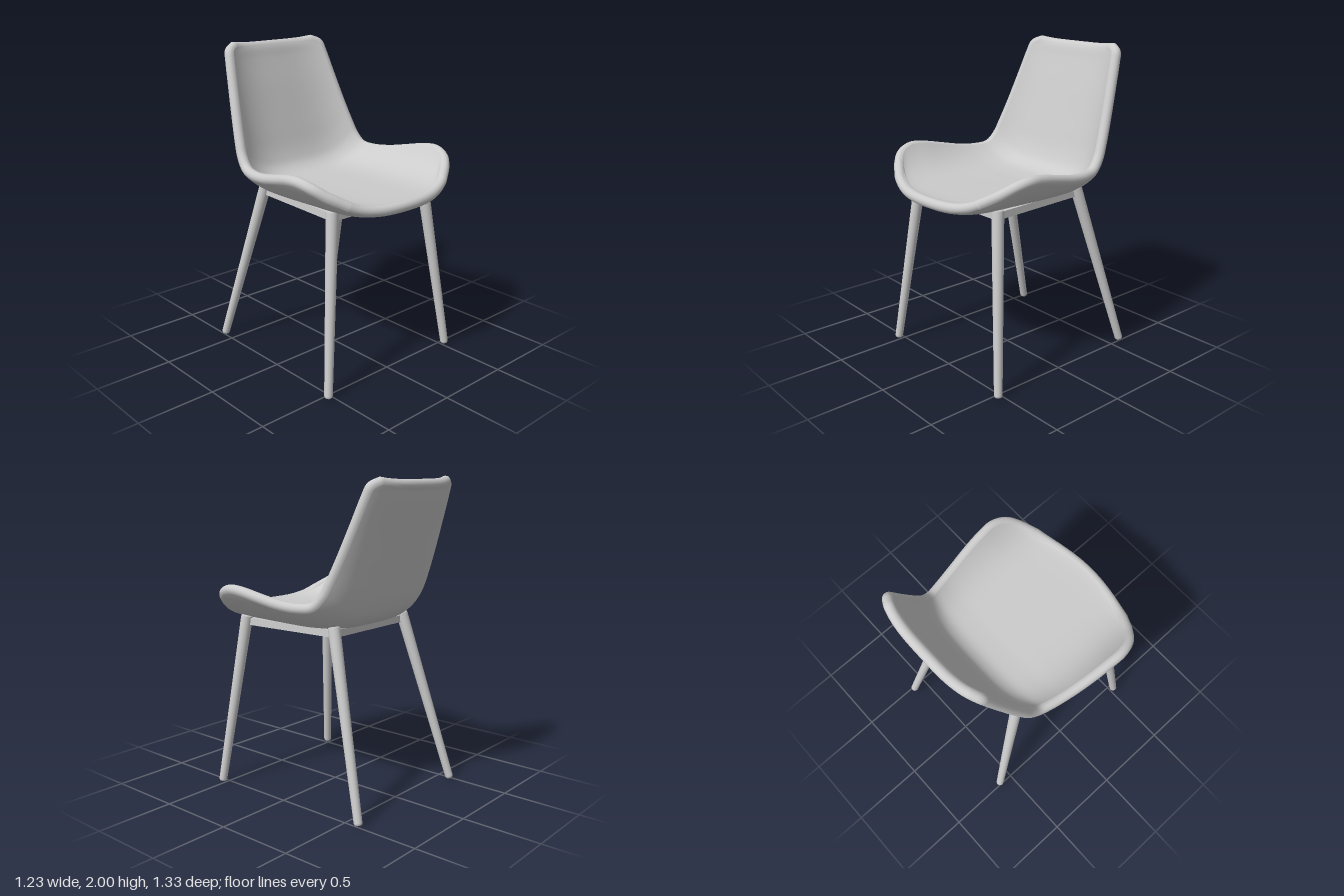
import * as THREE from 'three';
import { mergeVertices } from 'three/addons/utils/BufferGeometryUtils.js';

const V = (x, y, z) => new THREE.Vector3(x, y, z);
const HALF = 0.033; // half the shell thickness
const NU = 48, NV = 80, NR = 8;

// Shell stations from front lip to top of back: centre z, y | edge x, y, z
const stations = [
  [0.635, 1.125, 0.40, 1.18, 0.555],
  [0.615, 1.12, 0.50, 1.24, 0.49],
  [0.57, 1.115, 0.555, 1.285, 0.43],
  [0.49, 1.112, 0.583, 1.312, 0.34],
  [0.36, 1.11, 0.58, 1.305, 0.24],
  [0.18, 1.108, 0.567, 1.278, 0.11],
  [0.0, 1.107, 0.545, 1.25, -0.03],
  [-0.15, 1.108, 0.52, 1.24, -0.16],
  [-0.28, 1.125, 0.497, 1.255, -0.26],
  [-0.36, 1.175, 0.482, 1.32, -0.325],
  [-0.41, 1.26, 0.468, 1.40, -0.365],
  [-0.47, 1.44, 0.445, 1.53, -0.42],
  [-0.55, 1.70, 0.41, 1.74, -0.50],
  [-0.605, 1.87, 0.385, 1.89, -0.555],
  [-0.622, 1.93, 0.372, 1.94, -0.575],
  [-0.632, 1.95, 0.325, 1.965, -0.60],
];
const centre = new THREE.CatmullRomCurve3(stations.map(s => V(0, s[1], s[0])));
const edge = new THREE.CatmullRomCurve3(stations.map(s => V(s[2], s[3], s[4])));

// Middle surface of the shell, u across (-1..1), v from front to top (0..1)
function middle(u, v) {
  const c = centre.getPoint(v), e = edge.getPoint(v), a = Math.abs(u);
  const zPower = 2 + 1.3 * THREE.MathUtils.smoothstep(v, 0.2, 0.7);
  return V(e.x * u, c.y + (e.y - c.y) * a ** 4, c.z + (e.z - c.z) * a ** zPower);
}

function normalAt(u, v) {
  const cu = THREE.MathUtils.clamp(u, -0.94, 0.94), cv = THREE.MathUtils.clamp(v, 0.03, 0.97), h = 0.01;
  const du = middle(cu + h, cv).sub(middle(cu - h, cv));
  const dv = middle(cu, cv + h).sub(middle(cu, cv - h));
  return du.cross(dv).normalize();
}

// Two offset skins closed by a half-round rim
function shellGeometry() {
  const pos = [], idx = [];
  const add = p => pos.push(p.x, p.y, p.z) / 3 - 1;
  const quads = (rows, flip) => {
    for (let i = 0; i < rows.length - 1; i++) for (let j = 0; j < rows[i].length - 1; j++) {
      const a = rows[i][j], b = rows[i][j + 1], c = rows[i + 1][j], d = rows[i + 1][j + 1];
      if (flip) idx.push(a, c, b, b, c, d); else idx.push(a, b, c, b, d, c);
    }
  };
  const grid = [];
  for (let i = 0; i <= NV; i++) {
    grid.push([]);
    for (let j = 0; j <= NU; j++) {
      const u = Math.sin((j / NU - 0.5) * Math.PI), v = i / NV;
      grid[i].push({ p: middle(u, v), n: normalAt(u, v) });
    }
  }
  for (const side of [1, -1]) {
    quads(grid.map(r => r.map(g => add(g.p.clone().addScaledVector(g.n, HALF * side)))), side < 0);
  }
  const loop = [];
  for (let j = 0; j < NU; j++) loop.push(grid[0][j]);
  for (let i = 0; i < NV; i++) loop.push(grid[i][NU]);
  for (let j = NU; j > 0; j--) loop.push(grid[NV][j]);
  for (let i = NV; i > 0; i--) loop.push(grid[i][0]);
  const L = loop.length;
  const rim = loop.map((g, k) => {
    const before = g.p.clone().sub(loop[(k + L - 1) % L].p).normalize();
    const after = loop[(k + 1) % L].p.clone().sub(g.p).normalize();
    const out = before.add(after).cross(g.n).normalize();
    return Array.from({ length: NR + 1 }, (_, j) => {
      const a = Math.PI * j / NR;
      return add(g.p.clone().addScaledVector(g.n, HALF * Math.cos(a)).addScaledVector(out, HALF * Math.sin(a)));
    });
  });
  quads([...rim, rim[0]], false);
  const geo = new THREE.BufferGeometry();
  geo.setAttribute('position', new THREE.Float32BufferAttribute(pos, 3));
  geo.setIndex(idx);
  const welded = mergeVertices(geo, 1e-5);
  welded.computeVertexNormals();
  return welded;
}

export function createModel() {
  const group = new THREE.Group();
  const mat = new THREE.MeshStandardMaterial({ color: 0xcccccc });
  const add = (name, geo) => {
    const m = new THREE.Mesh(geo, mat);
    m.name = name;
    group.add(m);
    return m;
  };
  // Place a y-aligned geometry between two points
  const span = (mesh, a, b) => {
    mesh.position.copy(a).add(b).multiplyScalar(0.5);
    mesh.quaternion.setFromUnitVectors(V(0, 1, 0), b.clone().sub(a).normalize());
  };

  add('seatShell', shellGeometry());

  // Splayed, tapered legs
  const leg = (name, foot, top) => {
    const h = foot.distanceTo(top);
    const profile = [[0, 0], [0.019, 0], [0.024, 0.006], [0.026, 0.016], [0.038, h - 0.01], [0.034, h], [0, h]];
    const geo = new THREE.LatheGeometry(profile.map(p => new THREE.Vector2(...p)), 24);
    geo.translate(0, -h / 2, 0);
    span(add(name, geo), foot, top);
  };
  for (const [side, s] of [['Left', 1], ['Right', -1]]) {
    leg('front' + side + 'Leg', V(0.53 * s, 0.006, 0.53), V(0.39 * s, 1.12, 0.41));
    leg('back' + side + 'Leg', V(0.487 * s, 0.008, -0.592), V(0.34 * s, 1.12, -0.28));
  }

  // Frame under the seat joining the legs
  const bar = (name, a, b) => span(add(name, new THREE.BoxGeometry(0.045, a.distanceTo(b), 0.045)), a, b);
  const y = 1.08;
  for (const [side, s] of [['left', 1], ['right', -1]]) {
    bar(side + 'FrameBar', V(0.375 * s, y, 0.41), V(0.33 * s, y, -0.28));
  }
  bar('frontFrameBar', V(-0.38, y, 0.40), V(0.38, y, 0.40));
  bar('backFrameBar', V(-0.33, y, -0.27), V(0.33, y, -0.27));
  return group;
}
